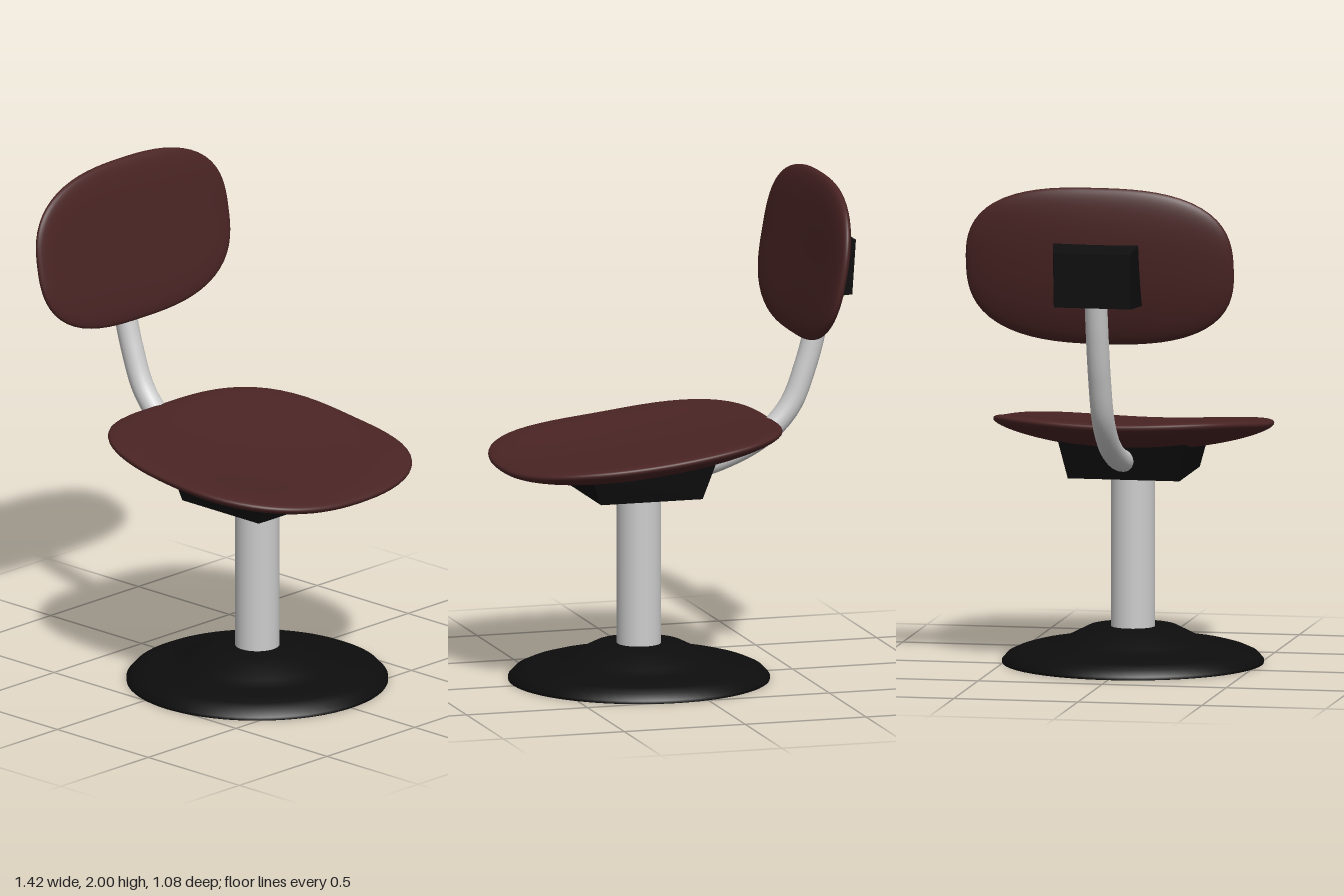
import * as THREE from 'three';
import { mergeVertices } from 'three/addons/utils/BufferGeometryUtils.js';
import { ConvexGeometry } from 'three/addons/geometries/ConvexGeometry.js';

const material = (name, color) => {
  const m = new THREE.MeshStandardMaterial({ color });
  m.name = name;
  return m;
};

// Rounded-square pad: a sphere squashed to a superellipse outline, placed by a rule
// place(u, h, w): u, w run -1..1 over the outline, h is the height off the mid surface
function padGeometry(halfThickness, place) {
  const n = 2.7;
  const geo = new THREE.SphereGeometry(1, 72, 36);
  geo.deleteAttribute('uv');
  geo.deleteAttribute('normal');
  const pos = geo.attributes.position;
  for (let i = 0; i < pos.count; i++) {
    const x = pos.getX(i), y = pos.getY(i), z = pos.getZ(i);
    const r = Math.hypot(x, z);
    let u = 0, w = 0;
    if (r > 1e-5) {
      const c = x / r, s = z / r;
      const edge = Math.pow(Math.abs(c) ** n + Math.abs(s) ** n, -1 / n);
      const k = Math.pow(r, 0.9) * edge;
      u = c * k;
      w = s * k;
    }
    const h = halfThickness * Math.sign(y) * Math.pow(Math.abs(y), 0.85);
    pos.setXYZ(i, ...place(u, h, w));
  }
  const merged = mergeVertices(geo, 1e-5);
  merged.computeVertexNormals();
  return merged;
}

// Block from (x, y, half width) corners mirrored across z
function blockGeometry(corners) {
  const points = [];
  for (const [x, y, z] of corners) {
    points.push(new THREE.Vector3(x, y, z), new THREE.Vector3(x, y, -z));
  }
  return new ConvexGeometry(points);
}

export function createModel() {
  const group = new THREE.Group();
  const maroon = material('maroon upholstery', 0x4a2424);
  const black = material('black plastic', 0x0d0d0d);
  const steel = material('light steel', 0xcccccc);

  const add = (name, geometry, mat) => {
    const mesh = new THREE.Mesh(geometry, mat);
    mesh.name = name;
    group.add(mesh);
    return mesh;
  };

  // Dished seat, sloping down towards the front (+x)
  add('seat', padGeometry(0.052, (u, h, w) => [
    0.15 + 0.56 * u,
    0.90 - 0.065 * u + 0.045 * u * u + 0.06 * w * w + h,
    0.54 * w,
  ]), maroon);

  // Backrest, leaning back and slightly wrapped
  add('backrest', padGeometry(0.05, (u, h, w) => [
    -0.578 + 0.055 * u + 0.02 * u * u + 0.03 * w * w + h,
    1.68 - 0.32 * u,
    0.54 * w,
  ]), maroon);

  // Brackets
  add('seatBracket', blockGeometry([
    [-0.06, 0.755, 0.225], [0.36, 0.755, 0.225],
    [-0.11, 0.91, 0.255], [0.405, 0.87, 0.25],
  ]), black);
  add('backrestBracket', blockGeometry([
    [-0.715, 1.75, 0.155], [-0.70, 1.53, 0.155],
    [-0.60, 1.79, 0.18], [-0.58, 1.53, 0.18],
  ]), black);

  // Bent tube joining seat and backrest
  const path = new THREE.CatmullRomCurve3([
    [0.08, 0.82], [-0.06, 0.832], [-0.2, 0.865], [-0.37, 0.945],
    [-0.485, 1.06], [-0.555, 1.23], [-0.60, 1.4], [-0.64, 1.6],
  ].map(([x, y]) => new THREE.Vector3(x, y, 0)));
  add('backTube', new THREE.TubeGeometry(path, 48, 0.045, 24), steel);

  // Column
  const column = add('column', new THREE.CylinderGeometry(0.088, 0.088, 0.66, 48), steel);
  column.position.set(0.135, 0.46, 0);

  // Round stepped base
  const profile = [
    [0, 0], [0.518, 0], [0.518, 0.012], [0.495, 0.037], [0.46, 0.053], [0.415, 0.066],
    [0.335, 0.07], [0.285, 0.09], [0.175, 0.145], [0, 0.145],
  ].map(([r, y]) => new THREE.Vector2(r, y));
  const base = add('base', new THREE.LatheGeometry(profile, 72), black);
  base.position.x = 0.135;

  return group;
}
